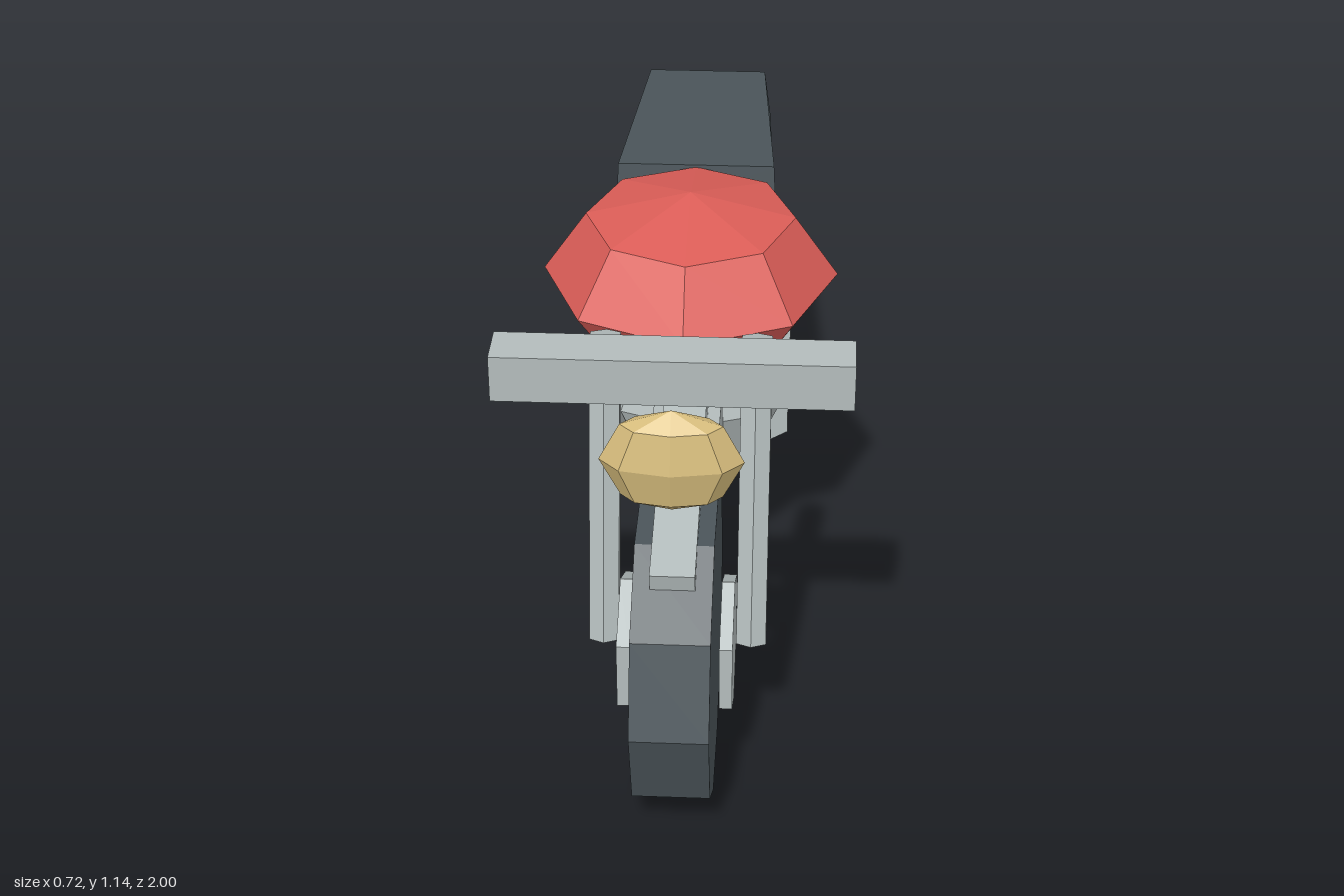
import * as THREE from 'three';

const mat = (name, color) => {
  const m = new THREE.MeshStandardMaterial({ color, flatShading: true });
  m.name = name;
  return m;
};

export function createModel() {
  const group = new THREE.Group();
  const rubber = mat('dark rubber', 0x4b555a);
  const metal = mat('pale metal', 0xb3bcbc);
  const red = mat('tank red', 0xdb5d57);
  const gold = mat('lamp gold', 0xd6bc7c);

  const add = (name, geometry, material, x = 0, y = 0, z = 0) => {
    const mesh = new THREE.Mesh(geometry, material);
    mesh.name = name;
    mesh.position.set(x, y, z);
    group.add(mesh);
    return mesh;
  };
  // Faceted ellipsoid
  const blob = (name, material, y, z, rx, ry, rz) =>
    add(name, new THREE.SphereGeometry(1, 8, 4).scale(rx, ry, rz), material, 0, y, z);
  // Six-sided rod between two [y, z] points, one on each side
  const rodPair = (name, x, a, b, r) => {
    for (const s of [-1, 1]) {
      const p = new THREE.Vector3(s * x, a[0], a[1]);
      const q = new THREE.Vector3(s * x, b[0], b[1]);
      const d = q.clone().sub(p);
      const rod = add(name, new THREE.CylinderGeometry(r, r, d.length(), 6), metal);
      rod.position.copy(p).add(q).multiplyScalar(0.5);
      rod.quaternion.setFromUnitVectors(new THREE.Vector3(0, 1, 0), d.normalize());
    }
  };

  // Wheels with a hub plate on each side
  for (const [name, z] of [['front', 0.655], ['rear', -0.655]]) {
    add(name + 'Tyre', new THREE.CylinderGeometry(0.345, 0.345, 0.166, 10).rotateZ(Math.PI / 2),
      rubber, 0, 0.33, z);
    for (const s of [-1, 1]) {
      add(name + 'Hub',
        new THREE.CylinderGeometry(0.157, 0.157, 0.028, 6, 1, false, Math.PI / 2).rotateZ(Math.PI / 2),
        metal, s * 0.109, 0.333, z);
    }
  }

  // Fork legs, exhaust pipes and rear shocks
  rodPair('forkLeg', 0.159, [0.335, 0.655], [1.0, 0.492], 0.037);
  rodPair('exhaust', 0.162, [0.452, -0.06], [0.443, -0.65], 0.07);
  rodPair('rearShock', 0.16, [0.67, -0.085], [0.335, -0.645], 0.026);

  // Frame beam
  add('frameBeam', new THREE.BoxGeometry(0.15, 0.146, 1.11), metal, 0, 0.607, 0);

  // Sloping front bar, thinner towards the front
  const bar = new THREE.Shape([
    [-0.85, 0.642], [-0.84, 0.6], [-0.165, 0.7], [-0.185, 0.782],
  ].map(([a, b]) => new THREE.Vector2(a, b)));
  add('frontBar',
    new THREE.ExtrudeGeometry(bar, { depth: 0.094, bevelEnabled: false })
      .translate(0, 0, -0.047).rotateY(Math.PI / 2),
    metal);

  // Engine, tank and headlamp
  blob('engine', metal, 0.566, -0.038, 0.23, 0.21, 0.203);
  blob('fuelTank', red, 0.945, 0.108, 0.327, 0.195, 0.335);
  blob('headlamp', gold, 0.922, 0.845, 0.145, 0.117, 0.06);

  // Handlebar
  add('handlebar', new THREE.BoxGeometry(0.716, 0.1, 0.1), metal, 0, 1.09, 0.78);

  // Seat, tapering to the rear and slightly to the top
  const seat = new THREE.BoxGeometry(2, 2, 2);
  const pos = seat.attributes.position;
  for (let i = 0; i < pos.count; i++) {
    const front = pos.getZ(i) > 0, top = pos.getY(i) > 0;
    const half = front ? (top ? 0.178 : 0.186) : (top ? 0.142 : 0.157);
    pos.setXYZ(i,
      Math.sign(pos.getX(i)) * half,
      top ? (front ? 1.09 : 1.06) : 0.937,
      front ? (top ? -0.125 : -0.108) : (top ? -0.712 : -0.732));
  }
  seat.computeVertexNormals();
  add('seat', seat, rubber);

  return group;
}
